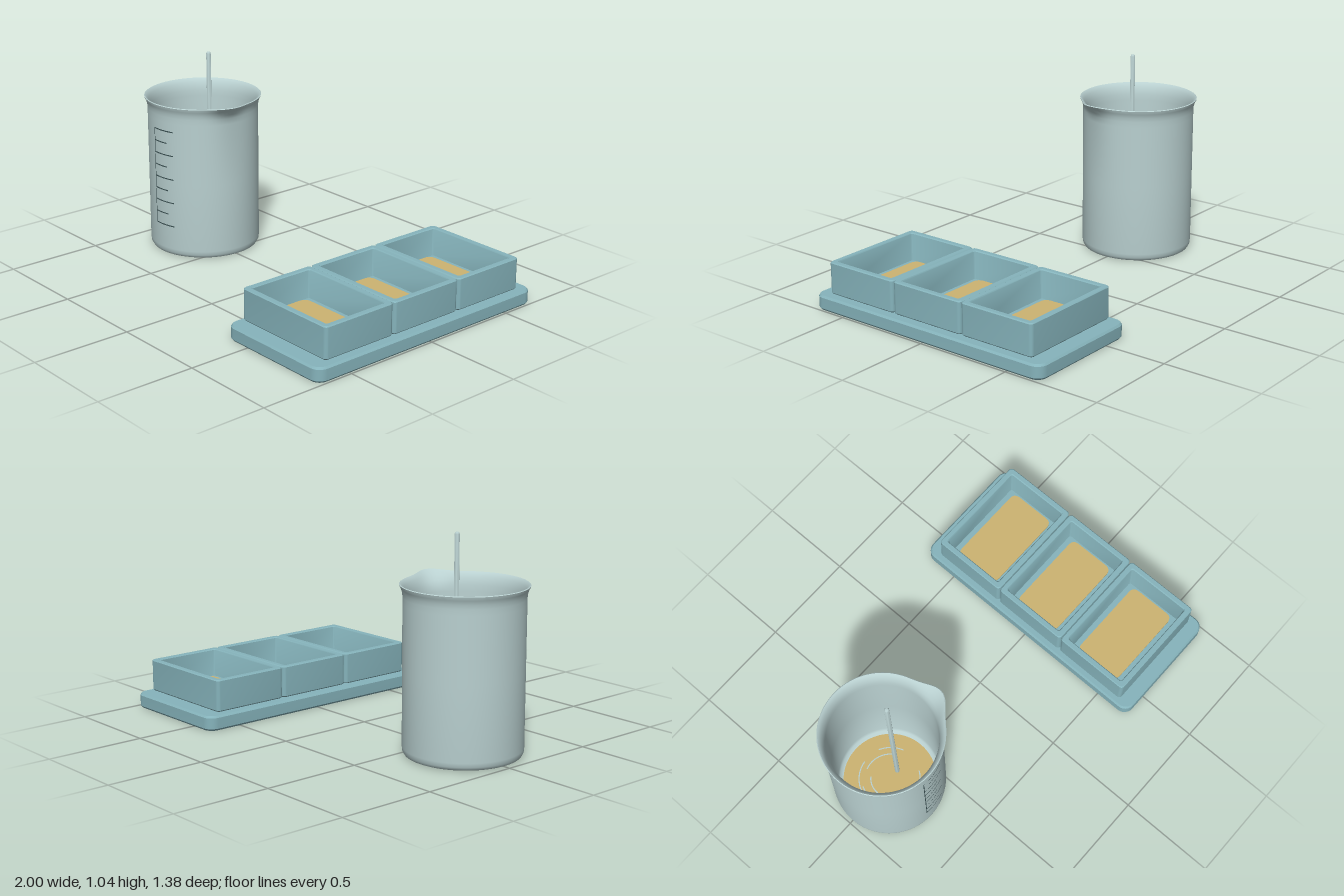
import * as THREE from 'three';
import { toCreasedNormals } from 'three/addons/utils/BufferGeometryUtils.js';

const mat = (name, color) => {
  const m = new THREE.MeshStandardMaterial({ color });
  m.name = name;
  return m;
};

// Stacked rounded rectangles [halfX, halfZ, cornerRadius, y], skinned in order; ends are closed.
function loft(rings, corner = 4) {
  const loops = rings.map(([hx, hz, r, y]) => {
    const pts = [];
    for (let q = 0; q < 4; q++) {
      const sx = q === 0 || q === 3 ? 1 : -1, sz = q < 2 ? 1 : -1;
      for (let i = 0; i <= corner; i++) {
        const a = (q + i / corner) * Math.PI / 2;
        pts.push([sx * (hx - r) + r * Math.cos(a), y, sz * (hz - r) + r * Math.sin(a)]);
      }
    }
    return pts;
  });
  const n = loops[0].length, pos = [];
  const tri = (a, b, c) => pos.push(...a, ...b, ...c);
  for (let k = 0; k < loops.length - 1; k++) {
    for (let i = 0; i < n; i++) {
      const j = (i + 1) % n, A = loops[k], B = loops[k + 1];
      tri(A[i], B[i], A[j]);
      tri(A[j], B[i], B[j]);
    }
  }
  const first = [0, rings[0][3], 0], last = [0, rings[rings.length - 1][3], 0];
  for (let i = 0; i < n; i++) {
    const j = (i + 1) % n;
    tri(first, loops[0][i], loops[0][j]);
    tri(last, loops[loops.length - 1][j], loops[loops.length - 1][i]);
  }
  const g = new THREE.BufferGeometry();
  g.setAttribute('position', new THREE.Float32BufferAttribute(pos, 3));
  return toCreasedNormals(g, 0.6);
}

export function createModel() {
  const model = new THREE.Group();
  const glass = mat('paleGlass', 0xb9d0d0);
  const teal = mat('tealCeramic', 0x86b4bc);
  const amber = mat('amberLiquid', 0xcdb472);
  const ink = mat('darkMarking', 0x3c5254);

  const add = (parent, name, geo, material, x = 0, y = 0, z = 0) => {
    const m = new THREE.Mesh(geo, material);
    m.name = name;
    m.position.set(x, y, z);
    parent.add(m);
    return m;
  };

  // Beaker
  const beaker = new THREE.Group();
  beaker.name = 'beaker';
  beaker.position.x = -0.698;
  model.add(beaker);

  // Wall profile: outside upwards, over the flared lip, inside downwards
  const profile = [
    [0, 0], [0.262, 0], [0.276, 0.006], [0.284, 0.02], [0.286, 0.04], [0.286, 0.4], [0.286, 0.72],
    [0.286, 0.75], [0.288, 0.77], [0.294, 0.79], [0.301, 0.803], [0.302, 0.808], [0.298, 0.811],
    [0.291, 0.806], [0.281, 0.79], [0.274, 0.77], [0.27, 0.75], [0.268, 0.72], [0.265, 0.4],
    [0.262, 0.05], [0.255, 0.03], [0.24, 0.02], [0, 0.02],
  ].map(([x, y]) => new THREE.Vector2(x, y));
  const wall = new THREE.LatheGeometry(profile, 96);

  // Pull the lip outwards into a pouring spout
  const p = wall.attributes.position, spoutAngle = 0.23;
  for (let i = 0; i < p.count; i++) {
    const x = p.getX(i), y = p.getY(i), z = p.getZ(i);
    const h = Math.min(1, Math.max(0, (y - 0.72) / 0.088)) ** 2;
    if (h === 0) continue;
    let d = Math.atan2(z, x) - spoutAngle;
    d = Math.atan2(Math.sin(d), Math.cos(d));
    const w = h * Math.exp(-((d / 0.26) ** 2));
    const s = 1 + 0.045 * w / Math.hypot(x, z);
    p.setXYZ(i, x * s, y + 0.01 * w, z * s);
  }
  wall.computeVertexNormals();
  wall.deleteAttribute('uv');
  add(beaker, 'beakerWall', toCreasedNormals(wall.toNonIndexed(), 0.9), glass);

  // Liquid at the bottom with swirl streaks
  add(beaker, 'beakerLiquid', new THREE.CylinderGeometry(0.237, 0.237, 0.008, 64), amber, 0, 0.026, 0);
  const swirls = [
    [0.155, 1.7, 2.2], [0.14, 2.6, 1.5], [0.125, 0.5, 1.4], [0.16, 0.3, 0.8],
    [0.12, 4.0, 1.2], [0.15, 4.6, 1.1], [0.095, 2.2, 1.0],
  ];
  for (const [r, start, length] of swirls) {
    const arc = new THREE.RingGeometry(r, r + 0.006, 24, 1, start, length);
    arc.rotateX(-Math.PI / 2);
    add(beaker, 'liquidSwirl', arc, glass, 0, 0.0315, 0);
  }

  // Stirring rod with a rounded tip
  const rod = [[0, 0.032], [0.012, 0.032], [0.012, 1.033], [0.0085, 1.0415], [0, 1.045]];
  add(beaker, 'stirringRod',
    toCreasedNormals(new THREE.LatheGeometry(rod.map(([x, y]) => new THREE.Vector2(x, y)), 16).toNonIndexed(), 0.9),
    glass, 0.055, 0, 0);

  // Measuring scale wrapped round the front
  const mark = (name, y, height, start, length) => add(beaker, name,
    new THREE.CylinderGeometry(0.2885, 0.2885, height, 12, 1, true, start, length), ink, 0, y, 0);
  mark('scaleLine', 0.42, 0.515, -0.118, 0.016);
  for (let i = 0; i < 9; i++) {
    mark('scaleTick', 0.165 + i * 0.0638, 0.006, -0.115, i % 2 ? 0.325 : 0.46);
  }

  // Tray
  const tray = new THREE.Group();
  tray.name = 'tray';
  tray.position.x = 0.675;
  model.add(tray);
  add(tray, 'trayBase', loft([
    [0.312, 0.682, 0.045, 0], [0.32, 0.69, 0.053, 0.01],
    [0.32, 0.69, 0.053, 0.065], [0.312, 0.682, 0.045, 0.075],
  ], 6), teal);

  // Three open dishes on low feet, each with an amber filling
  for (let i = -1; i <= 1; i++) {
    const dish = new THREE.Group();
    dish.name = 'dish';
    dish.position.set(-0.003, 0, i * 0.413);
    tray.add(dish);
    add(dish, 'dishFoot', loft([[0.255, 0.166, 0.03, 0.07], [0.255, 0.166, 0.03, 0.09]]), teal);
    add(dish, 'dishWalls', loft([
      [0.282, 0.2, 0.014, 0.082], [0.2875, 0.2045, 0.018, 0.088],
      [0.2875, 0.2045, 0.018, 0.238], [0.283, 0.2, 0.016, 0.243],
      [0.262, 0.178, 0.012, 0.243], [0.257, 0.174, 0.01, 0.238],
      [0.24, 0.16, 0.01, 0.105],
    ]), teal);
    add(dish, 'dishFilling', loft([[0.23, 0.13, 0.032, 0.104], [0.23, 0.13, 0.032, 0.112]]), amber);
  }
  return model;
}
